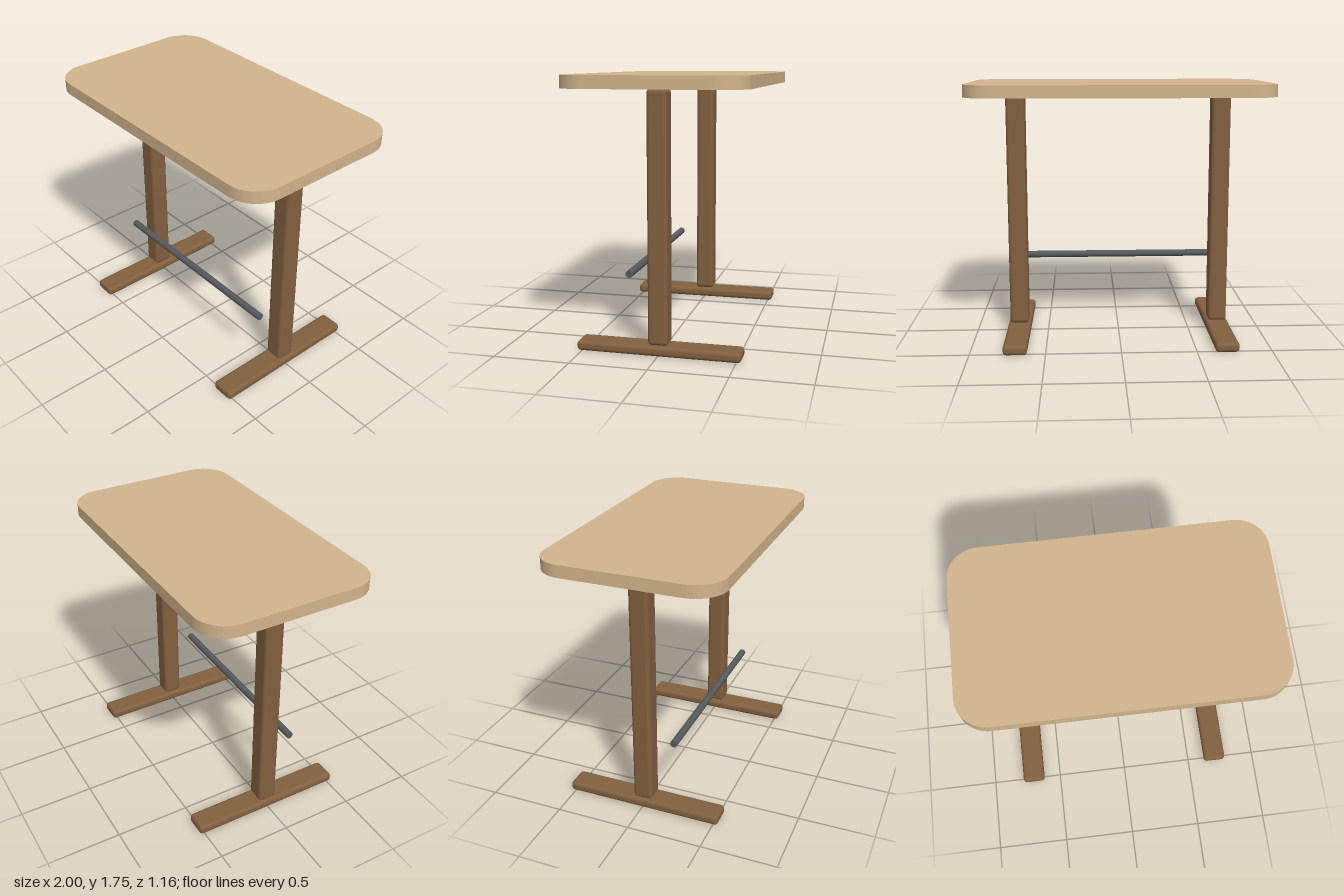
import * as THREE from 'three';
import { RoundedBoxGeometry } from 'three/addons/geometries/RoundedBoxGeometry.js';

const paleWood = new THREE.MeshStandardMaterial({ color: 0xd2b48c });
const darkWood = new THREE.MeshStandardMaterial({ color: 0x82603f });
const metal = new THREE.MeshStandardMaterial({ color: 0x555a5c });

function add(parent, name, geometry, material, x, y, z) {
  const mesh = new THREE.Mesh(geometry, material);
  mesh.name = name;
  mesh.position.set(x, y, z);
  parent.add(mesh);
  return mesh;
}

// Rectangle with quarter-circle corners, centred on the origin
function roundedRect(w, d, r) {
  const x = w / 2 - r, y = d / 2 - r;
  const s = new THREE.Shape();
  s.absarc(x, y, r, 0, Math.PI / 2);
  s.absarc(-x, y, r, Math.PI / 2, Math.PI);
  s.absarc(-x, -y, r, Math.PI, Math.PI * 1.5);
  s.absarc(x, -y, r, Math.PI * 1.5, Math.PI * 2);
  s.closePath();
  return s;
}

export function createModel() {
  const table = new THREE.Group();
  table.name = 'standingTable';

  // Tabletop: rounded slab with sharp rims
  const top = new THREE.ExtrudeGeometry(roundedRect(2, 1.164, 0.2), {
    depth: 0.08, bevelEnabled: false, curveSegments: 12,
  });
  top.rotateX(-Math.PI / 2);
  add(table, 'tabletop', top, paleWood, 0, 1.67, 0);

  // One T-shaped support per side: a column on a long foot
  for (const [side, sign] of [['left', 1], ['right', -1]]) {
    const support = new THREE.Group();
    support.name = side + 'Support';
    support.position.x = sign * 0.7;
    add(support, side + 'Column', new RoundedBoxGeometry(0.13, 1.6, 0.13, 3, 0.025), darkWood, 0, 0.867, 0);
    add(support, side + 'Foot', new RoundedBoxGeometry(0.16, 0.066, 1.064, 3, 0.025), darkWood, 0, 0.033, 0);
    table.add(support);
  }

  // Foot rail in front of the columns
  const rail = add(table, 'footRail', new THREE.CylinderGeometry(0.024, 0.024, 1.4, 16), metal, 0, 0.503, 0.2);
  rail.rotation.z = Math.PI / 2;

  return table;
}
